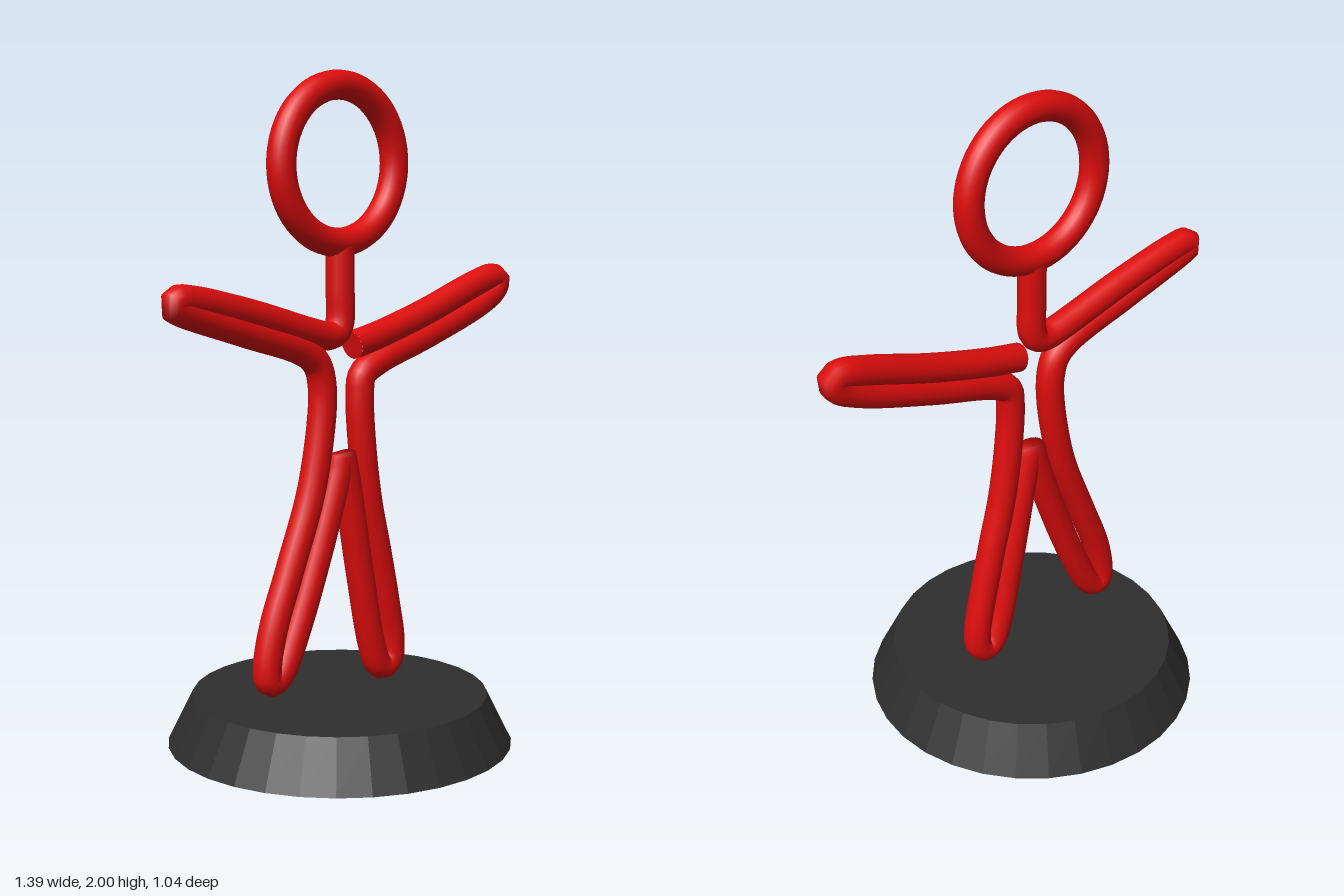
import * as THREE from 'three';

const TUBE = 0.043;

export function createModel() {
  const group = new THREE.Group();
  const red = new THREE.MeshStandardMaterial({ color: 0xdd0d0d });
  red.name = 'red';
  const charcoal = new THREE.MeshStandardMaterial({ color: 0x2e2e2e, side: THREE.DoubleSide, flatShading: true });
  charcoal.name = 'charcoal';

  const add = (name, geometry, material, x = 0, y = 0, z = 0) => {
    const mesh = new THREE.Mesh(geometry, material);
    mesh.name = name;
    mesh.position.set(x, y, z);
    group.add(mesh);
    return mesh;
  };

  // Hollow base, open underneath
  add('baseWall', new THREE.CylinderGeometry(0.445, 0.52, 0.15, 32, 1, true), charcoal, -0.04, 0.075, 0);
  add('baseTop', new THREE.CircleGeometry(0.445, 32), charcoal, -0.04, 0.15, 0).rotation.x = -Math.PI / 2;

  // Head ring
  add('head', new THREE.TorusGeometry(0.227, TUBE, 20, 64), red, -0.04, 1.73, 0);

  // One bent rod: neck, right arm, right leg, left leg, left arm
  const path = [
    [-0.037, 1.49], [-0.037, 1.36], [-0.037, 1.275], [-0.052, 1.242], [-0.09, 1.232], [-0.15, 1.245],
    [-0.39, 1.315], [-0.6, 1.364], [-0.648, 1.367], [-0.66, 1.352], [-0.64, 1.34],
    [-0.41, 1.265], [-0.18, 1.19], [-0.13, 1.15], [-0.111, 1.09], [-0.112, 1.0],
    [-0.155, 0.78], [-0.24, 0.56], [-0.308, 0.39], [-0.332, 0.28], [-0.328, 0.24],
    [-0.308, 0.231], [-0.275, 0.258], [-0.217, 0.37], [-0.12, 0.61], [-0.048, 0.82],
    [-0.033, 0.872], [-0.015, 0.81],
    [0.045, 0.5], [0.095, 0.27], [0.122, 0.205], [0.15, 0.19], [0.176, 0.215], [0.18, 0.27],
    [0.158, 0.39], [0.117, 0.57], [0.08, 0.72], [0.053, 0.9], [0.044, 1.05], [0.054, 1.105],
    [0.115, 1.14], [0.33, 1.205], [0.57, 1.288], [0.642, 1.328], [0.658, 1.36], [0.632, 1.369],
    [0.54, 1.347], [0.33, 1.277], [0.127, 1.221], [0.012, 1.197],
  ];
  const curve = new THREE.CatmullRomCurve3(path.map(([x, y]) => new THREE.Vector3(x, y, 0)));
  curve.arcLengthDivisions = 1000;
  add('bodyRod', new THREE.TubeGeometry(curve, 420, TUBE, 18, false), red);

  // Flat caps closing the rod
  for (const [name, t, sign] of [['neckCap', 0, -1], ['leftArmCap', 1, 1]]) {
    const p = curve.getPointAt(t);
    const cap = add(name, new THREE.CircleGeometry(TUBE, 18), red, p.x, p.y, p.z);
    cap.quaternion.setFromUnitVectors(new THREE.Vector3(0, 0, 1), curve.getTangentAt(t).multiplyScalar(sign));
  }

  return group;
}
